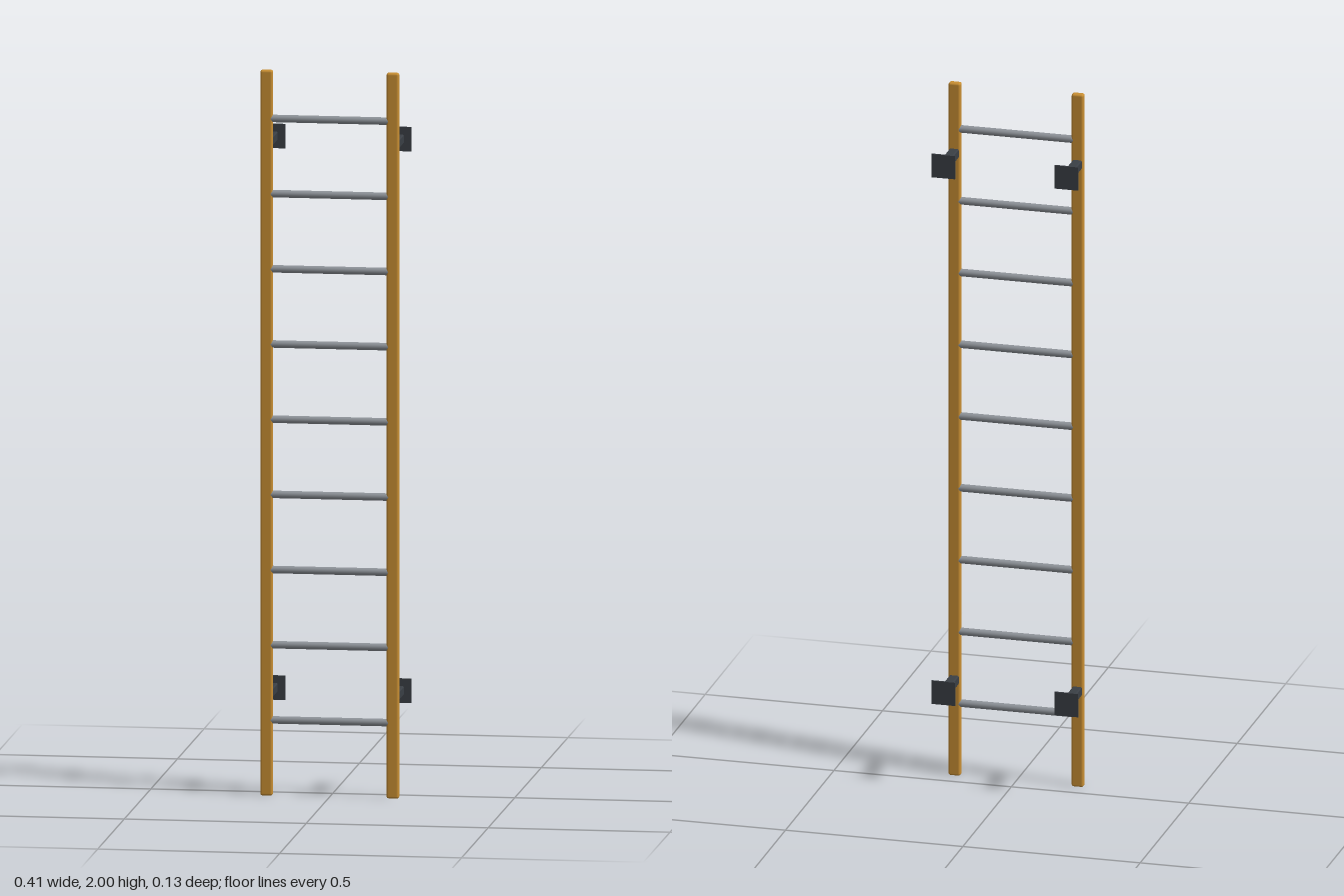
import * as THREE from 'three';
import { RoundedBoxGeometry } from 'three/addons/geometries/RoundedBoxGeometry.js';

const RAIL_X = 0.1735; // distance of each rail from the middle
const RAIL_Z = 0.055;  // rails and rungs share this depth

export function createModel() {
  const group = new THREE.Group();
  const mat = (name, color) => {
    const m = new THREE.MeshStandardMaterial({ color });
    m.name = name;
    return m;
  };
  const ochre = mat('ochre rail', 0xc98f33);
  const steel = mat('grey steel', 0x8f949a);
  const dark = mat('dark bracket', 0x3a3f45);

  const add = (name, geometry, material, x, y, z) => {
    const mesh = new THREE.Mesh(geometry, material);
    mesh.name = name;
    mesh.position.set(x, y, z);
    group.add(mesh);
    return mesh;
  };

  const railGeo = new RoundedBoxGeometry(0.034, 2, 0.021, 2, 0.006);
  const armGeo = new RoundedBoxGeometry(0.026, 0.026, 0.116, 2, 0.004);
  const plateGeo = new THREE.BoxGeometry(0.067, 0.067, 0.005);
  const rungGeo = new THREE.CylinderGeometry(0.0104, 0.0104, 2 * RAIL_X, 16).rotateZ(Math.PI / 2);

  // Side rails, each with an upper and a lower wall bracket
  for (const [side, s] of [['left', 1], ['right', -1]]) {
    add(side + 'Rail', railGeo, ochre, s * RAIL_X, 1, RAIL_Z);
    for (const [level, y] of [['Upper', 1.798], ['Lower', 0.277]]) {
      add(side + level + 'BracketArm', armGeo, dark, s * RAIL_X, y, -0.007);
      add(side + level + 'WallPlate', plateGeo, dark, s * RAIL_X, y, -0.0655);
    }
  }

  // Nine evenly spaced round rungs
  for (let i = 0; i < 9; i++) {
    add('rung' + (i + 1), rungGeo, steel, 0, 0.208 + i * 0.2073, RAIL_Z);
  }
  return group;
}
